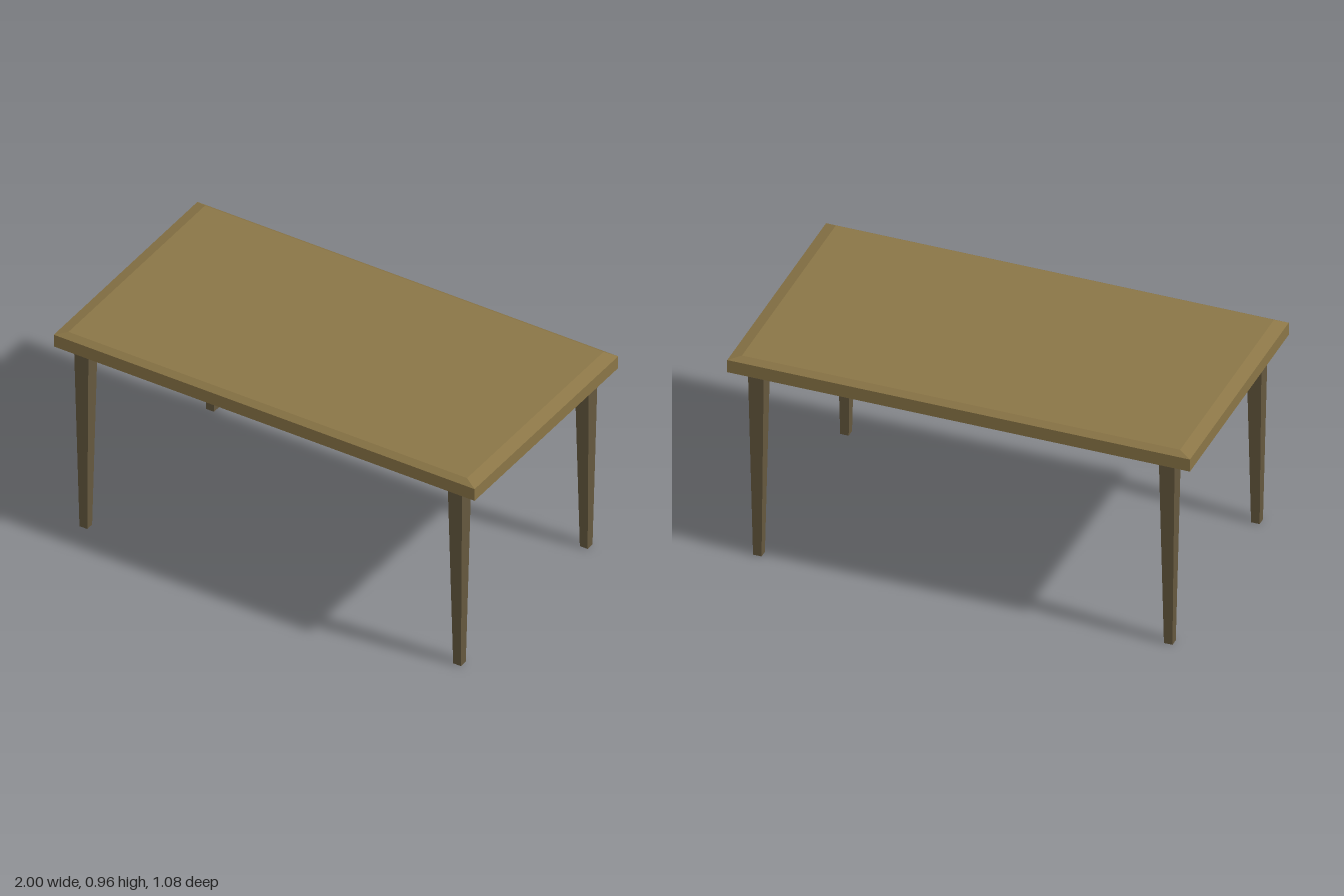
import * as THREE from 'three';

// Box from y0 to y1 whose top and bottom faces may differ in size
function taperedBox(bottomW, bottomD, topW, topD, y0, y1) {
  const geo = new THREE.BoxGeometry(1, 1, 1);
  const p = geo.attributes.position;
  for (let i = 0; i < p.count; i++) {
    const top = p.getY(i) > 0;
    p.setXYZ(
      i,
      p.getX(i) * (top ? topW : bottomW),
      top ? y1 : y0,
      p.getZ(i) * (top ? topD : bottomD)
    );
  }
  geo.computeVertexNormals();
  return geo;
}

export function createModel() {
  const model = new THREE.Group();
  model.name = 'table';

  const topMaterial = new THREE.MeshStandardMaterial({ color: 0x8b7647, flatShading: true });
  const legMaterial = new THREE.MeshStandardMaterial({ color: 0x66593f, flatShading: true });

  const add = (name, geometry, material, parent) => {
    const mesh = new THREE.Mesh(geometry, material);
    mesh.name = name;
    parent.add(mesh);
    return mesh;
  };

  // Tabletop: straight slab with a shallow bevelled cap
  const tabletop = new THREE.Group();
  tabletop.name = 'tabletop';
  add('slab', taperedBox(2, 1.084, 2, 1.084, 0.881, 0.939), topMaterial, tabletop);
  add('bevelledCap', taperedBox(2, 1.084, 1.894, 1.03, 0.939, 0.957), topMaterial, tabletop);
  model.add(tabletop);

  // Four square legs, narrowing towards the floor
  const legGeometry = taperedBox(0.037, 0.037, 0.068, 0.069, 0, 0.881);
  for (const [end, z] of [['front', 0.478], ['back', -0.478]]) {
    for (const [side, x] of [['Left', 0.888], ['Right', -0.888]]) {
      add(`${end}${side}Leg`, legGeometry, legMaterial, model).position.set(x, 0, z);
    }
  }

  return model;
}
